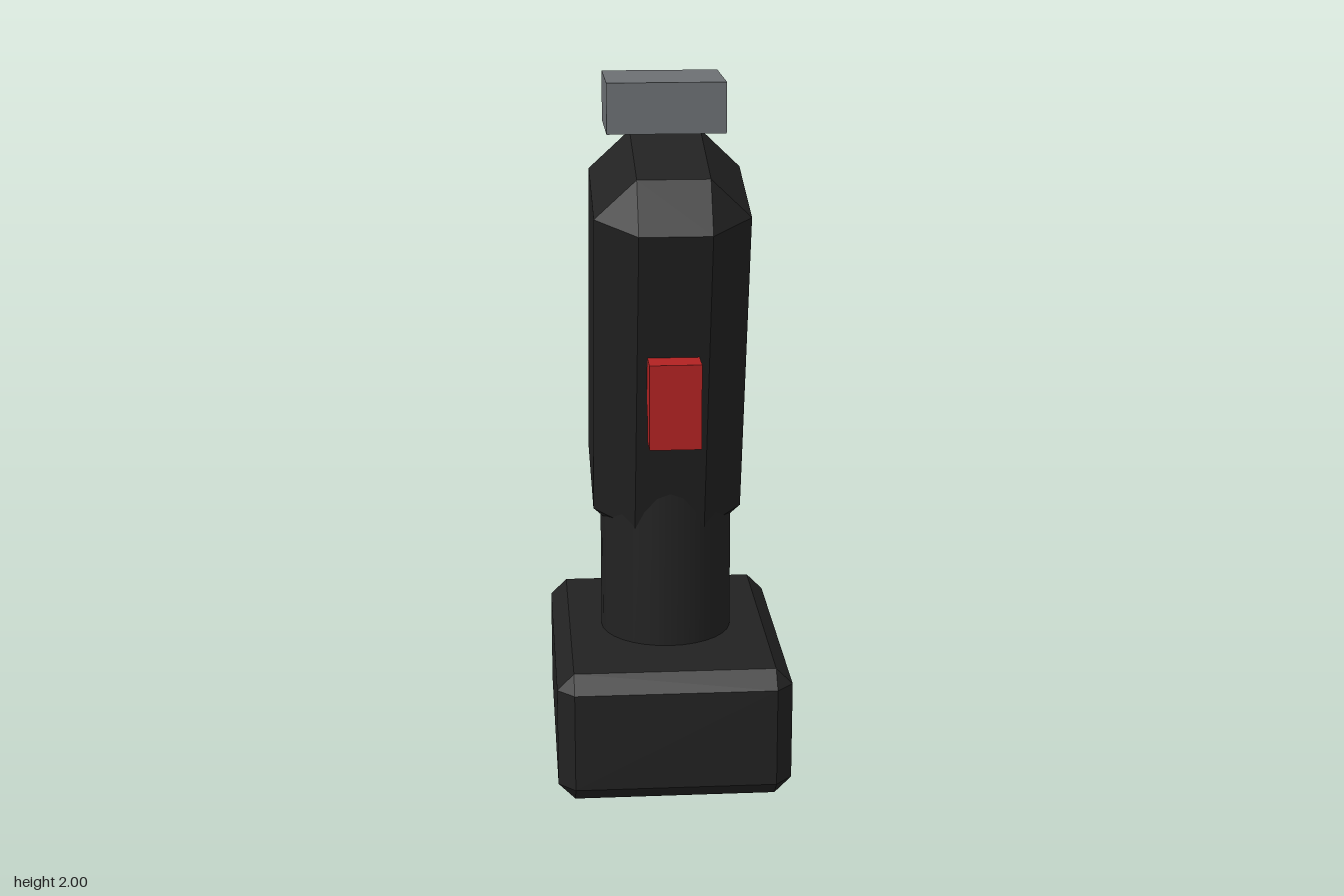
import * as THREE from 'three';
import { ConvexGeometry } from 'three/addons/geometries/ConvexGeometry.js';

// Box with evenly chamfered edges and triangular corners, given half sizes and chamfer
function chamferedBox(hx, hy, hz, c) {
  const points = [];
  for (const sx of [-1, 1]) for (const sy of [-1, 1]) for (const sz of [-1, 1]) {
    points.push(
      new THREE.Vector3(sx * hx, sy * (hy - c), sz * (hz - c)),
      new THREE.Vector3(sx * (hx - c), sy * hy, sz * (hz - c)),
      new THREE.Vector3(sx * (hx - c), sy * (hy - c), sz * hz)
    );
  }
  return new ConvexGeometry(points);
}

export function createModel() {
  const group = new THREE.Group();
  const black = new THREE.MeshStandardMaterial({ color: 0x222222 });
  black.name = 'black casing';
  const red = new THREE.MeshStandardMaterial({ color: 0xb22222 });
  red.name = 'red trigger';
  const grey = new THREE.MeshStandardMaterial({ color: 0x6c7073 });
  grey.name = 'grey metal';

  const add = (name, geometry, material, x, y, z) => {
    const mesh = new THREE.Mesh(geometry, material);
    mesh.name = name;
    mesh.position.set(x, y, z);
    group.add(mesh);
    return mesh;
  };

  // Heavy foot and round neck
  add('base', chamferedBox(0.335, 0.1925, 0.432, 0.048), black, 0, 0.1925, 0);
  add('neck', new THREE.CylinderGeometry(0.192, 0.192, 0.58, 32), black, 0, 0.61, 0);

  // Body leaning forward over the neck
  const body = add('body', chamferedBox(0.215, 0.578, 0.287, 0.115), black, 0, 1.257, 0);
  body.rotation.x = 0.25;

  // Upright trigger on the front, flat plate on top
  add('trigger', new THREE.BoxGeometry(0.144, 0.24, 0.096), red, 0, 1.16, 0.338);
  add('topPlate', new THREE.BoxGeometry(0.336, 0.143, 0.287), grey, 0, 1.9285, -0.0975);

  return group;
}
